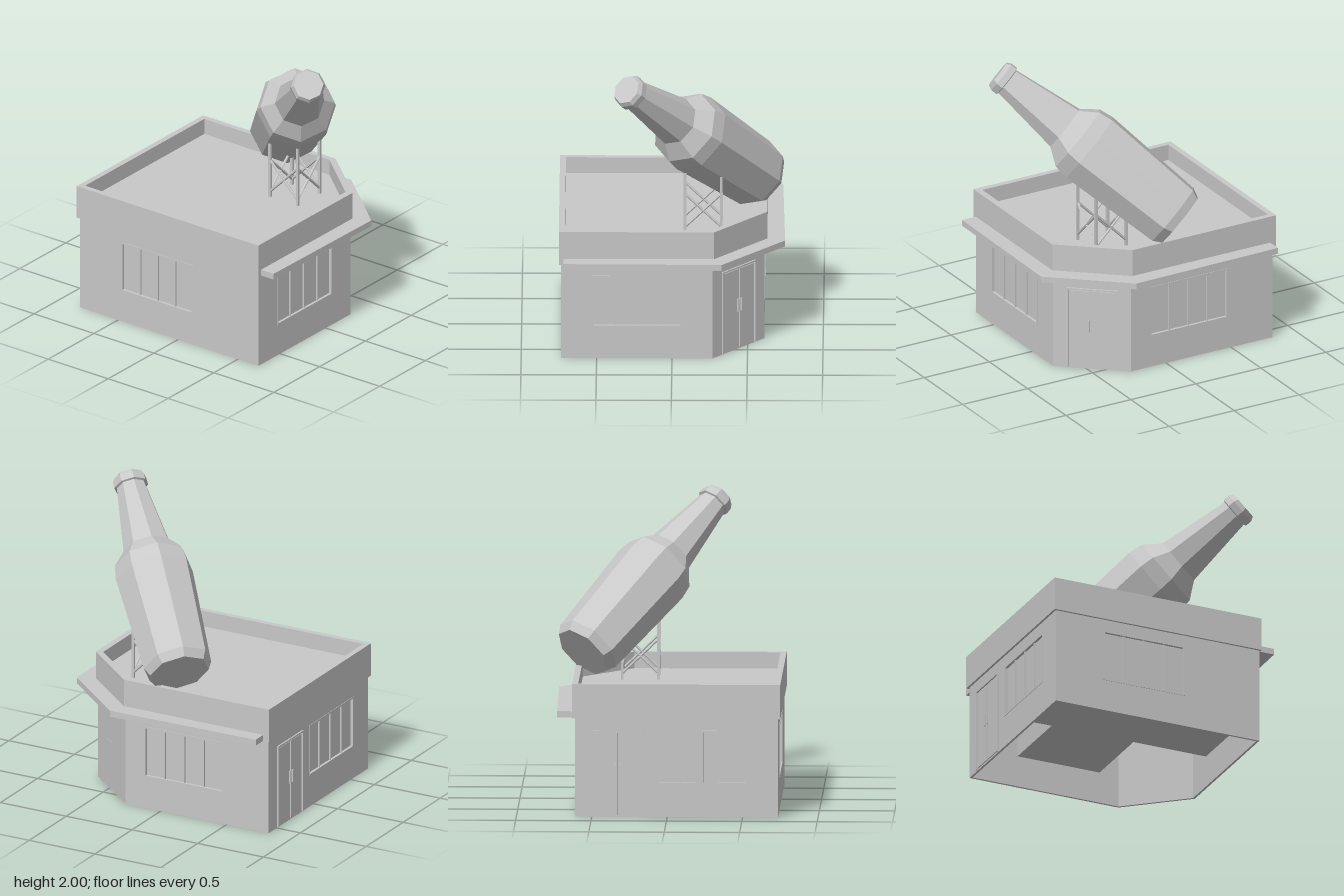
import * as THREE from 'three';

const plaster = new THREE.MeshStandardMaterial({ color: 0xc8c8c8, flatShading: true });
plaster.name = 'plain grey';

function mesh(name, geometry, parent) {
  const m = new THREE.Mesh(geometry, plaster);
  m.name = name;
  parent.add(m);
  return m;
}

function box(name, parent, w, h, d, x, y, z) {
  const m = mesh(name, new THREE.BoxGeometry(w, h, d), parent);
  m.position.set(x, y, z);
  return m;
}

// plan outline given as [x, z], raised from y0 to y1
function slab(name, parent, outline, y0, y1, hole) {
  const pts = (list) => list.map(([x, z]) => new THREE.Vector2(x, -z));
  const shape = new THREE.Shape(pts(outline));
  if (hole) shape.holes.push(new THREE.Path(pts(hole)));
  const g = new THREE.ExtrudeGeometry(shape, { depth: y1 - y0, bevelEnabled: false });
  g.rotateX(-Math.PI / 2);
  g.translate(0, y0, 0);
  return mesh(name, g, parent);
}

// round bar between two points
function bar(name, parent, a, b, r) {
  const from = new THREE.Vector3(...a), to = new THREE.Vector3(...b);
  const dir = to.clone().sub(from);
  const m = mesh(name, new THREE.CylinderGeometry(r, r, dir.length(), 6), parent);
  m.position.copy(from).add(to).multiplyScalar(0.5);
  m.quaternion.setFromUnitVectors(new THREE.Vector3(0, 1, 0), dir.normalize());
}

const WALL_H = 0.66, SKIN = 0.015;
const WIN = { w: 0.6, y0: 0.22, y1: 0.58 };

// four-pane window frame, local +z is outward
function addWindow(parent, x) {
  const g = new THREE.Group();
  g.name = 'windowFrame';
  g.position.x = x;
  parent.add(g);
  const h = WIN.y1 - WIN.y0, cy = (WIN.y0 + WIN.y1) / 2, f = 0.012;
  for (const s of [-1, 1]) {
    box('frameSide', g, f, h, 0.018, s * (WIN.w - f) / 2, cy, -0.006);
    box('frameRail', g, WIN.w, f, 0.018, 0, cy + s * (h - f) / 2, -0.006);
  }
  for (const i of [-1, 0, 1]) box('mullion', g, 0.008, h, 0.012, i * 0.147, cy, -0.009);
}

// double door with frame and handles
function addDoor(parent, x) {
  const g = new THREE.Group();
  g.name = 'doubleDoor';
  g.position.x = x;
  parent.add(g);
  for (const s of [-1, 1]) {
    box('doorJamb', g, 0.012, 0.575, 0.016, s * 0.164, 0.2925, 0.003);
    box('doorLeaf', g, 0.144, 0.55, 0.009, s * 0.078, 0.287, 0.002);
    box('doorHandle', g, 0.01, 0.09, 0.01, s * 0.018, 0.31, 0.013);
  }
  box('doorHead', g, 0.34, 0.012, 0.016, 0, 0.574, 0.003);
}

// wall from its plan centre, length and outward heading
function addWall(parent, name, [x, z], length, angle, windowX, doorX) {
  const g = new THREE.Group();
  g.name = name;
  g.position.set(x, 0, z);
  g.rotation.y = angle;
  parent.add(g);
  const l = length / 2;
  const rect = (a, b, c, d) => [[a, c], [b, c], [b, d], [a, d]].map((p) => new THREE.Vector2(...p));
  const shape = new THREE.Shape(rect(-l, l, 0, WALL_H));
  if (windowX !== null) {
    shape.holes.push(new THREE.Path(rect(windowX - WIN.w / 2, windowX + WIN.w / 2, WIN.y0, WIN.y1)));
    addWindow(g, windowX);
  }
  const geo = new THREE.ExtrudeGeometry(shape, { depth: SKIN, bevelEnabled: false });
  geo.translate(0, 0, -SKIN);
  mesh(name + 'Panel', geo, g);
  if (doorX !== null) addDoor(g, doorX);
}

function buildHouse() {
  const house = new THREE.Group();
  house.name = 'building';
  addWall(house, 'frontWall', [-0.2325, 0.67], 1.005, 0, 0, null);
  addWall(house, 'cornerWall', [0.44, 0.47], 0.525, Math.atan2(0.4, 0.34), null, 0);
  addWall(house, 'leftWall', [0.61, -0.275], 1.09, Math.PI / 2, -0.1, null);
  addWall(house, 'backWall', [-0.0625, -0.82], 1.345, Math.PI, 0.1725, -0.3875);
  addWall(house, 'rightWall', [-0.735, -0.075], 1.49, -Math.PI / 2, -0.1, null);

  // crossing window bays, open underneath the building
  const h = WIN.y1 - WIN.y0, cy = (WIN.y0 + WIN.y1) / 2;
  box('windowBayLengthways', house, WIN.w, h, 1.49 - 2 * SKIN, -0.235, cy, -0.075);
  box('windowBayCrossways', house, 1.345 - 2 * SKIN, h - 0.002, WIN.w, -0.0625, cy, -0.175);

  // parapet, roof and canopy
  const outer = [[-0.75, 0.68], [0.28, 0.68], [0.63, 0.27], [0.63, -0.835], [-0.75, -0.835]];
  const inner = [[-0.71, 0.635], [0.26, 0.635], [0.59, 0.25], [0.59, -0.795], [-0.71, -0.795]];
  slab('parapet', house, outer, 0.66, 0.89, inner);
  slab('roof', house, inner, 0.66, 0.78);
  slab('canopy', house, [[-0.72, 0.785], [0.33, 0.797], [0.748, 0.31], [0.73, -0.79],
    [0.6, -0.79], [0.6, 0.265], [0.265, 0.66], [-0.72, 0.66]], 0.66, 0.702);
  return house;
}

function buildBottle() {
  // profile as radius and distance along the axis
  const profile = [[0, 0], [0.2, 0], [0.232, 0.06], [0.265, 0.77], [0.25, 0.87], [0.165, 0.98],
    [0.1, 1.47], [0.116, 1.475], [0.116, 1.52], [0.1, 1.55], [0, 1.55]];
  const geo = new THREE.LatheGeometry(profile.map((p) => new THREE.Vector2(...p)), 8);
  const tilt = 0.636, c = Math.cos(tilt) * Math.SQRT1_2;
  const side = new THREE.Vector3(Math.SQRT1_2, 0, Math.SQRT1_2);
  const axis = new THREE.Vector3(-c, Math.sin(tilt), c);
  const up = side.clone().cross(axis);
  geo.applyMatrix4(new THREE.Matrix4().makeBasis(side, axis, up));
  const group = new THREE.Group();
  group.name = 'roofBottle';
  mesh('bottle', geo, group).position.set(0.58, 1.0, -0.125);
  return group;
}

function buildStand() {
  const stand = new THREE.Group();
  stand.name = 'bottleStand';
  const legs = [[0.085, 0.37, 1.23], [0.325, 0.37, 1.2], [0.325, 0.14, 1.06], [0.085, 0.14, 1.2]];
  legs.forEach(([x, z, top], i) => {
    box('standLeg', stand, 0.018, top - 0.77, 0.018, x, (top + 0.77) / 2, z);
    // crossed braces to the next leg
    const [x2, z2] = legs[(i + 1) % 4];
    bar('brace', stand, [x, 0.82, z], [x2, 1.05, z2], 0.009);
    bar('brace', stand, [x, 1.05, z], [x2, 0.82, z2], 0.009);
  });
  return stand;
}

export function createModel() {
  const model = new THREE.Group();
  model.name = 'bottleShop';
  model.add(buildHouse(), buildStand(), buildBottle());
  return model;
}
